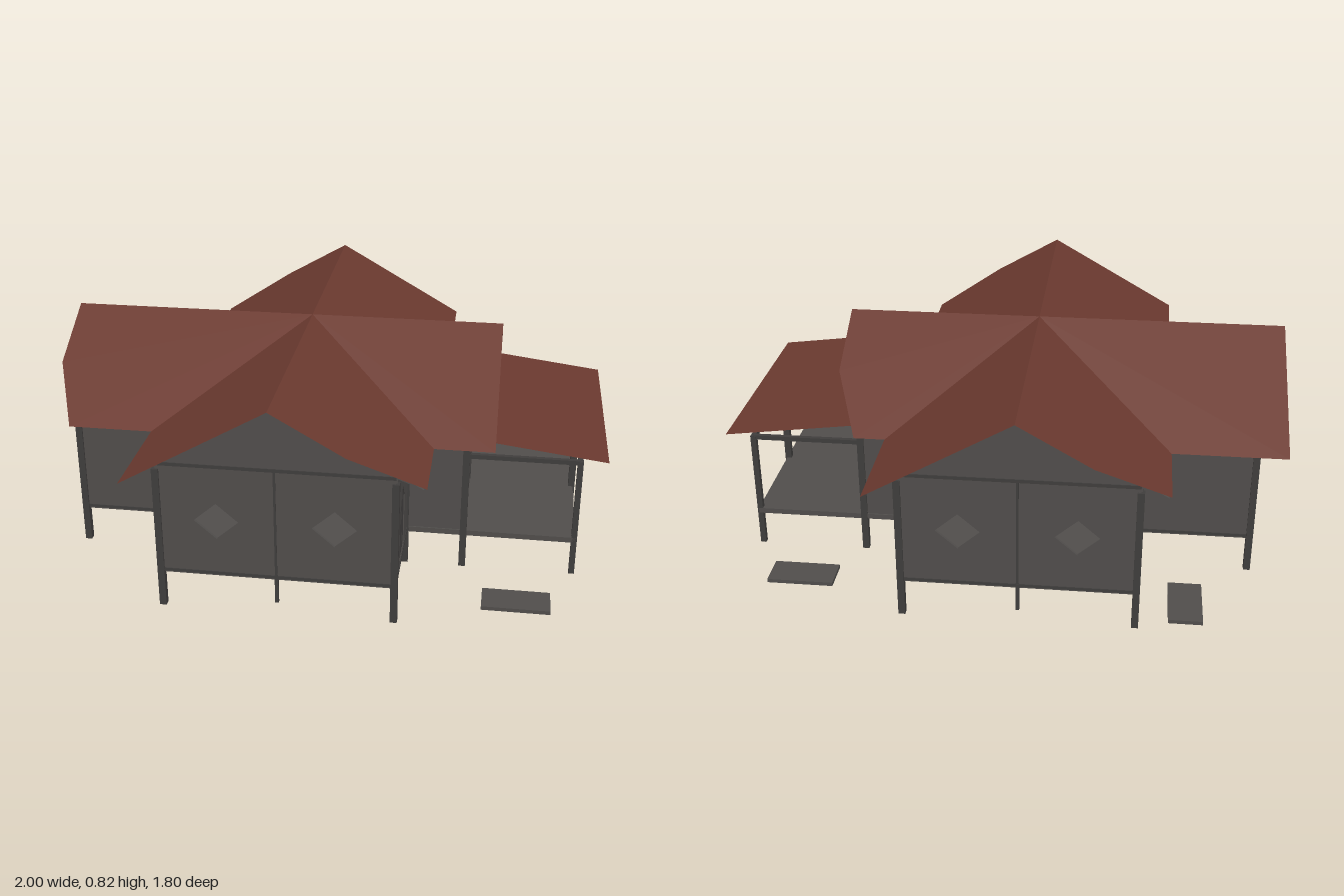
import * as THREE from 'three';

const CX = -0.1, RIDGE = 0.825, SLOPE = 0.57, FLOOR = 0.18, WALL_TOP = 0.575;

export function createModel() {
  const model = new THREE.Group();
  model.name = 'crossHouse';
  const mat = (name, color, side = THREE.FrontSide) => {
    const m = new THREE.MeshStandardMaterial({ color, side });
    m.name = name;
    return m;
  };
  const roofMat = mat('roofRed', 0x6a392f, THREE.DoubleSide);
  const wallMat = mat('wallGrey', 0x504d4b);
  const trimMat = mat('trimGrey', 0x3f3d3c);
  const doorMat = mat('doorGrey', 0x434140);

  const add = (name, geo, material, parent = model) => {
    const mesh = new THREE.Mesh(geo, material);
    mesh.name = name;
    parent.add(mesh);
    return mesh;
  };
  const box = (name, w, h, d, x, y, z, material, parent) =>
    add(name, new THREE.BoxGeometry(w, h, d), material, parent).position.set(x, y, z);
  const outline = (pts, Type = THREE.Shape) => new Type(pts.map(p => new THREE.Vector2(...p)));
  const plate = (shape, depth) =>
    new THREE.ExtrudeGeometry(shape, { depth, bevelEnabled: false }).translate(0, 0, -depth / 2);

  // Flat roof polygon as a fan of triangles
  const fan = (name, pts) => {
    const v = [];
    for (let i = 1; i < pts.length - 1; i++) v.push(...pts[0], ...pts[i], ...pts[i + 1]);
    const g = new THREE.BufferGeometry();
    g.setAttribute('position', new THREE.Float32BufferAttribute(v, 3));
    g.computeVertexNormals();
    return add(name, g, roofMat);
  };

  // Four gabled roof arms; one slope of each has a clipped corner
  [0.9, 0.9, 0.9, 0.71].forEach((len, i) => {
    // arm runs along local +z, then turns: front, left-hand, back, porch side
    const angle = -i * Math.PI / 2;
    const at = (u, l) => [u, RIDGE - SLOPE * Math.abs(u), l];
    const whole = fan('roofSlope', [at(0, 0), at(-0.5, 0.5), at(-0.5, len), at(0, len)]);
    const clipped = fan('roofSlopeClipped',
      [at(0, 0), at(0, len), at(0.25, len), at(0.5, len - 0.1), at(0.5, 0.5)]);
    for (const m of [whole, clipped]) {
      m.position.x = CX;
      m.rotation.y = angle;
    }
  });

  // Wall panel with diamond windows or pointed doorways, and an optional gable
  const wall = (name, x, z, angle, width, { doors = [], diamonds = [], gable = false } = {}) => {
    const g = new THREE.Group();
    g.name = name;
    g.position.set(x, 0, z);
    g.rotation.y = angle;
    model.add(g);
    const w = width / 2;
    const shape = outline([[-w, FLOOR - 0.01], [w, FLOOR - 0.01], [w, WALL_TOP], [-w, WALL_TOP]]);
    for (const u of diamonds)
      shape.holes.push(outline([[u - 0.077, 0.37], [u, 0.303], [u + 0.077, 0.37], [u, 0.437]], THREE.Path));
    for (const u of doors) {
      shape.holes.push(outline(
        [[u - 0.076, 0.183], [u + 0.076, 0.183], [u + 0.076, 0.37], [u, 0.445], [u - 0.076, 0.37]], THREE.Path));
      for (const s of [-1, 1]) {
        const leaf = [[u + s * 0.004, 0.183], [u + s * 0.062, 0.183], [u + s * 0.062, 0.383], [u + s * 0.004, 0.438]];
        add('doorLeaf', plate(outline(leaf), 0.006), doorMat, g);
      }
    }
    add('wallPanel', plate(shape, 0.01), wallMat, g);
    if (gable) {
      const tri = outline([[-0.49, 0.54], [-0.4, WALL_TOP], [0.4, WALL_TOP], [0.49, 0.54], [0, RIDGE - 0.008]]);
      add('gable', plate(tri, 0.01), wallMat, g);
      box('gableTrim', width, 0.012, 0.016, 0, WALL_TOP, 0, trimMat, g);
      box('middleTrim', 0.008, WALL_TOP - FLOOR, 0.016, 0, (WALL_TOP + FLOOR) / 2, 0, trimMat, g);
    }
    box('sill', width, 0.01, 0.016, 0, FLOOR - 0.008, 0, trimMat, g);
  };

  const Q = Math.PI / 2;
  // Gable ends
  wall('frontWall', CX, 0.8, 0, 0.8, { diamonds: [-0.2, 0.2], gable: true });
  wall('backWall', CX, -0.8, Math.PI, 0.8, { diamonds: [-0.2, 0.2], gable: true });
  wall('sideWall', -0.9, 0, -Q, 0.8, { doors: [-0.2, 0.2], gable: true });
  wall('porchWall', 0.51, 0, Q, 0.8, { doors: [-0.2, 0.2], gable: true });
  // Walls along the arms
  for (const s of [-1, 1]) {
    wall('armWall', -0.5, s * 0.6, -Q, 0.4, { doors: [0] });
    wall('armWall', 0.3, s * 0.6, Q, 0.4, { doors: s > 0 ? [0] : [] });
    wall('armWall', -0.7, s * 0.4, s > 0 ? 0 : Math.PI, 0.4);
    wall('armWall', 0.405, s * 0.4, s > 0 ? 0 : Math.PI, 0.21);
  }

  // Floors
  box('floor', 0.8, 0.02, 1.6, CX, 0.168, 0, wallMat);
  box('floor', 0.4, 0.02, 0.8, -0.7, 0.168, 0, wallMat);
  box('porchFloor', 0.61, 0.02, 0.82, 0.605, 0.168, 0, wallMat);

  // Posts at the corners, reaching below the floor as stilts
  const post = (x, z, top, w = 0.024, bottom = 0.03) =>
    box('post', w, top - bottom, w, x, (top + bottom) / 2, z, trimMat);
  for (const s of [-1, 1]) {
    for (const [x, z] of [[-0.9, 0.4], [-0.5, 0.8], [0.3, 0.8], [0.51, 0.4], [-0.5, 0.4], [0.3, 0.4]])
      post(x, s * z, WALL_TOP - 0.02);
    post(0.905, s * 0.4, 0.48, 0.02);
    post(CX, s * 0.8, FLOOR, 0.012, 0.07);
    box('porchSideBeam', 0.4, 0.016, 0.016, 0.705, 0.474, s * 0.4, trimMat);
  }
  post(-0.9, 0, FLOOR);
  post(0.905, 0, 0.48);
  box('porchBeam', 0.016, 0.016, 0.8, 0.905, 0.474, 0, trimMat);

  // Sloping porch roof
  fan('porchRoof', [[0.515, 0.552, 0.425], [1, 0.49, 0.425], [1, 0.49, -0.425], [0.515, 0.552, -0.425]]);

  // Ground steps
  box('step', 0.24, 0.014, 0.12, 0.71, 0.007, 0.585, wallMat);
  box('step', 0.24, 0.014, 0.12, 0.71, 0.007, -0.57, wallMat);
  box('step', 0.12, 0.014, 0.23, -0.675, 0.007, -0.615, wallMat);

  return model;
}
